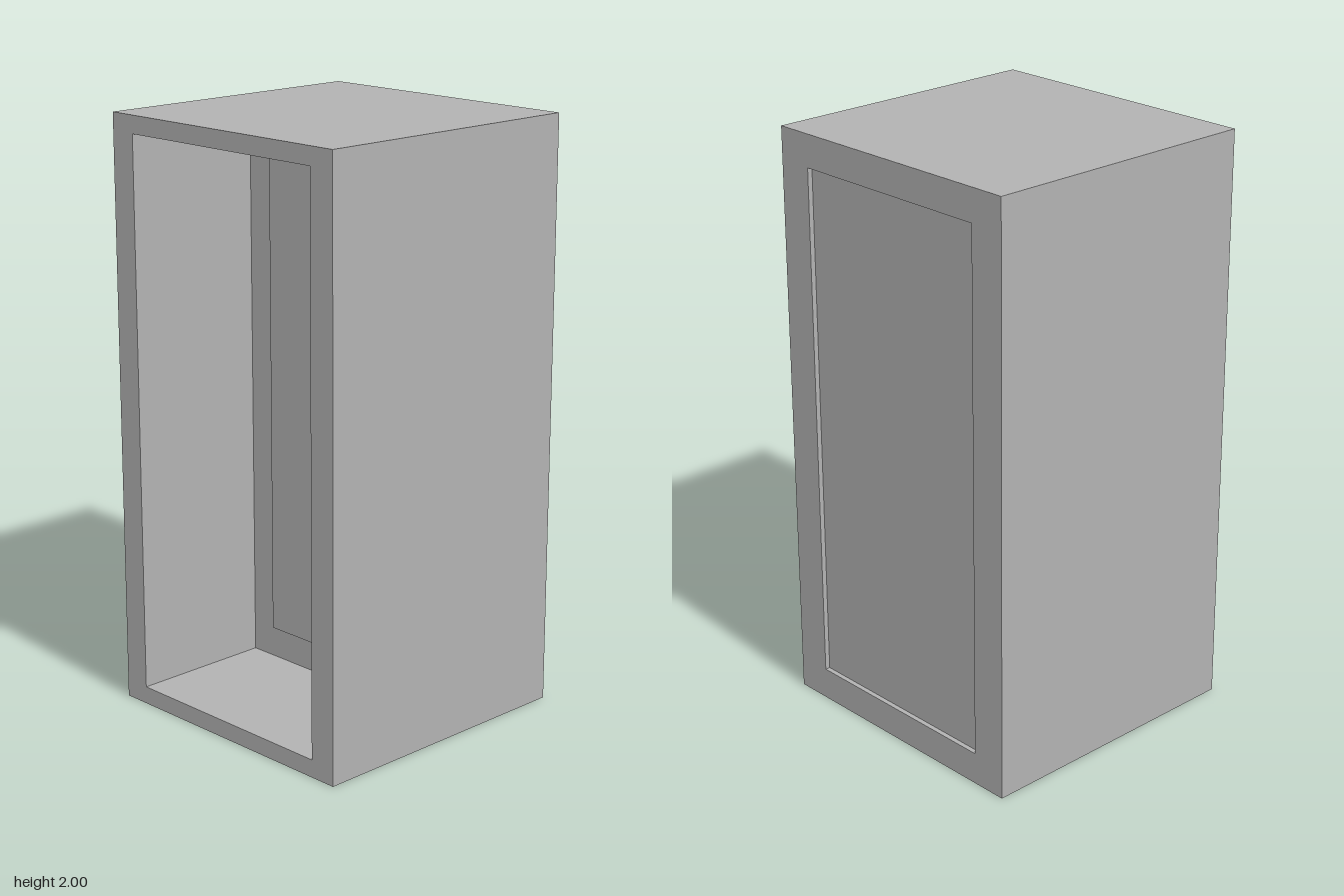
import * as THREE from 'three';

// Skin a chain of centred rectangles [halfWidth, halfHeight, z] and cap both ends
function loftRectangles(sections) {
  const positions = [];
  const quad = (a, b, c, d) => positions.push(...a, ...b, ...c, ...a, ...c, ...d);
  const loops = sections.map(([w, h, z]) => [[-w, -h, z], [w, -h, z], [w, h, z], [-w, h, z]]);
  for (let i = 0; i < loops.length - 1; i++) {
    for (let k = 0; k < 4; k++) {
      const n = (k + 1) % 4;
      quad(loops[i][k], loops[i][n], loops[i + 1][n], loops[i + 1][k]);
    }
  }
  const [a, b, c, d] = loops[0];
  quad(a, d, c, b);
  quad(...loops[loops.length - 1]);
  const geometry = new THREE.BufferGeometry();
  geometry.setAttribute('position', new THREE.Float32BufferAttribute(positions, 3));
  geometry.computeVertexNormals();
  return geometry;
}

export function createModel() {
  const group = new THREE.Group();
  group.name = 'cabinet';

  const grey = new THREE.MeshStandardMaterial({ color: 0xb2b2b2 });
  grey.name = 'plain grey';

  // Closed shell, from the shallow back recess around to the open front cavity
  const shell = new THREE.Mesh(loftRectangles([
    [0.375, 0.89, -0.483], // recess floor
    [0.375, 0.89, -0.5],   // recess rim
    [0.5, 1, -0.5],        // outer back
    [0.5, 1, 0.5],         // outer front
    [0.405, 0.94, 0.5],    // cavity mouth
    [0.405, 0.94, 0],      // cavity back wall
  ]), grey);
  shell.name = 'cabinetShell';
  shell.position.y = 1;

  // Thin panel on the cavity's back wall
  const panel = new THREE.Mesh(new THREE.BoxGeometry(0.61, 1.666, 0.008), grey);
  panel.name = 'innerPanel';
  panel.position.set(0, 1, 0.004);

  group.add(shell, panel);
  return group;
}
